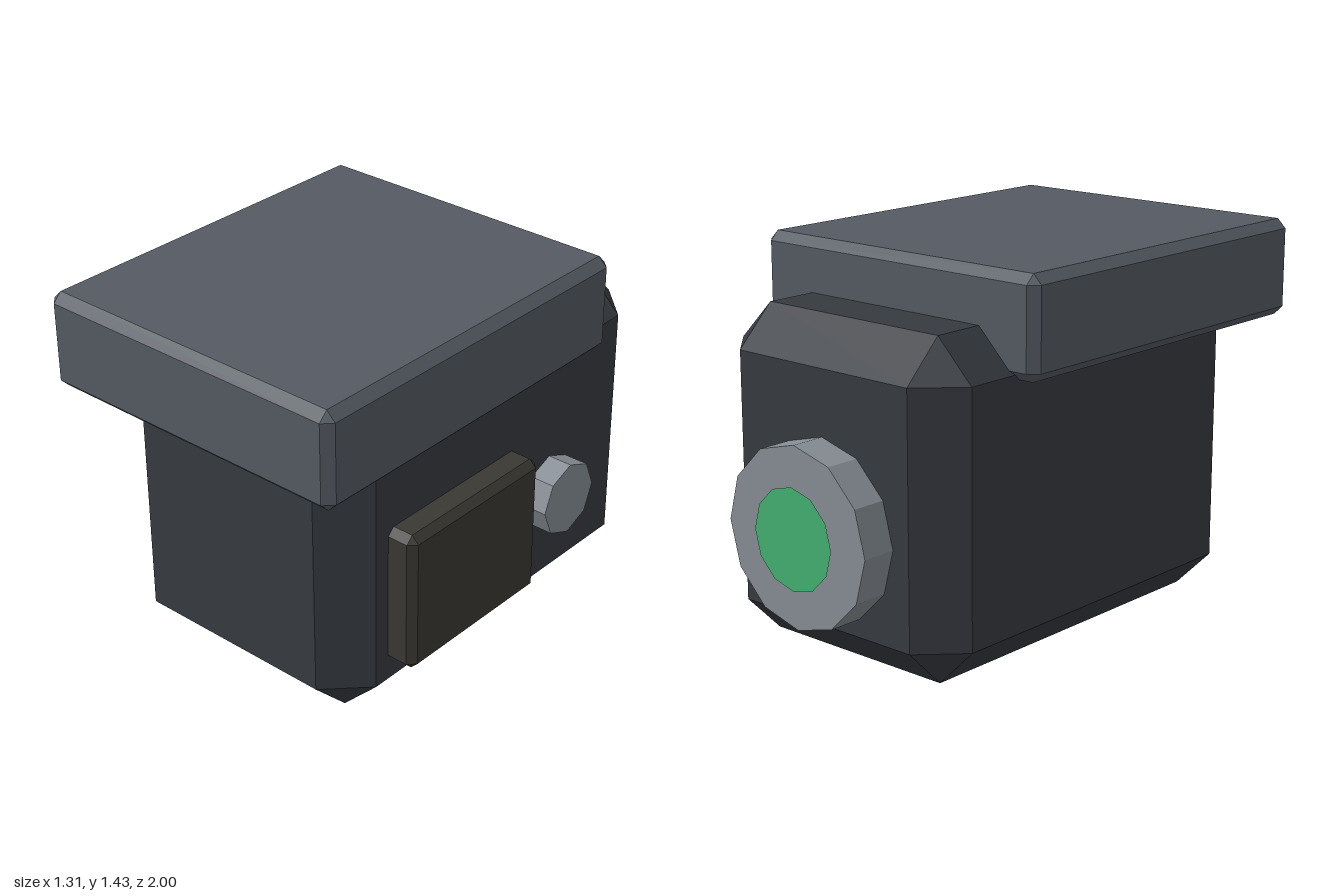
import * as THREE from 'three';
import { ConvexGeometry } from 'three/addons/geometries/ConvexGeometry.js';

const CENTRE_X = -0.01;
const AXIS_Y = 0.505;

const paint = (color, side = THREE.FrontSide) =>
  new THREE.MeshStandardMaterial({ color, flatShading: true, side });

// Box with every edge and corner cut at 45 degrees
function chamferedBox(w, h, d, c) {
  const points = [];
  for (const x of [-w / 2, w / 2])
    for (const y of [-h / 2, h / 2])
      for (const z of [-d / 2, d / 2]) {
        const ix = x - Math.sign(x) * c;
        const iy = y - Math.sign(y) * c;
        const iz = z - Math.sign(z) * c;
        points.push(
          new THREE.Vector3(x, iy, iz),
          new THREE.Vector3(ix, y, iz),
          new THREE.Vector3(ix, iy, z)
        );
      }
  return new ConvexGeometry(points);
}

export function createModel() {
  const model = new THREE.Group();
  model.name = 'model';

  const add = (name, geometry, material, x, y, z) => {
    const mesh = new THREE.Mesh(geometry, material);
    mesh.name = name;
    mesh.position.set(x, y, z);
    model.add(mesh);
    return mesh;
  };

  const metal = paint(0x868d94);

  // Main housing and the lid that overhangs its front
  add('body', chamferedBox(1.11, 1.23, 1.67, 0.15), paint(0x363a40), CENTRE_X, 0.615, -0.017);
  add('lid', chamferedBox(1.3, 0.37, 1.5, 0.035), paint(0x555b63), CENTRE_X, 1.245, 0.25);

  // Raised panel and eight-sided knob on the left side
  add('sidePanel', chamferedBox(0.22, 0.555, 0.705, 0.028), paint(0x3a3833), 0.545, 0.502, 0.252);
  const knob = add('sideKnob', new THREE.CylinderGeometry(0.146, 0.146, 0.2, 8), metal, 0.543, AXIS_Y, -0.305);
  knob.rotation.z = -Math.PI / 2;

  // Round fitting on the back with its glowing lens
  const mount = add('lensMount', new THREE.CylinderGeometry(0.333, 0.333, 0.25, 12), metal, CENTRE_X, AXIS_Y, -0.86);
  mount.rotation.x = -Math.PI / 2;
  const lens = add('lens', new THREE.CircleGeometry(0.188, 12), paint(0x44b070, THREE.DoubleSide), CENTRE_X, AXIS_Y, -1);
  lens.rotation.y = Math.PI;

  return model;
}
